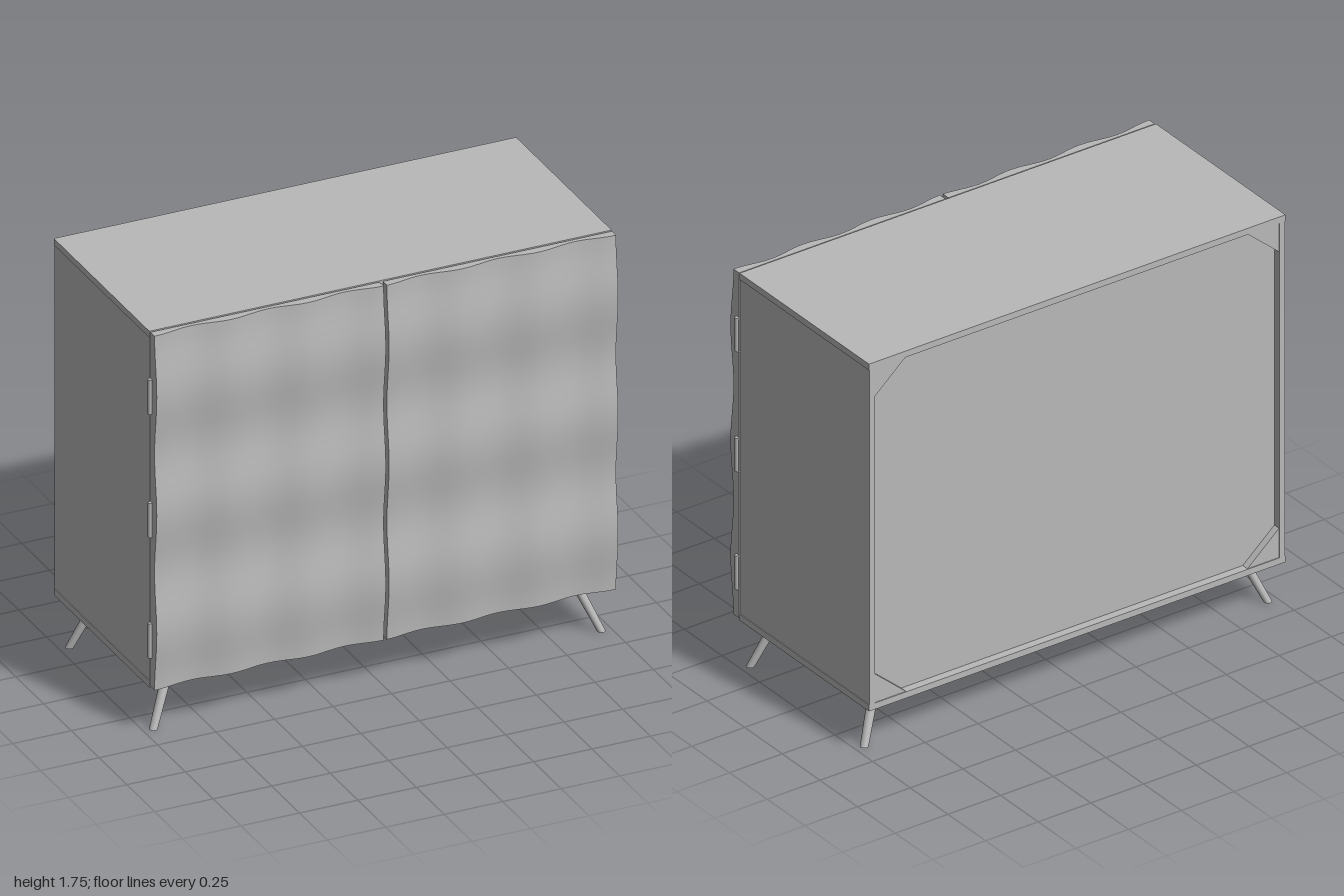
import * as THREE from 'three';

const grey = new THREE.MeshStandardMaterial({ color: 0xb8b8b8 });
grey.name = 'grey';

function add(parent, name, geometry, x = 0, y = 0, z = 0) {
  const mesh = new THREE.Mesh(geometry, grey);
  mesh.name = name;
  mesh.position.set(x, y, z);
  parent.add(mesh);
  return mesh;
}

// Box given by its minimum and maximum corners
function addBox(parent, name, [x0, y0, z0], [x1, y1, z1]) {
  return add(parent, name, new THREE.BoxGeometry(x1 - x0, y1 - y0, z1 - z0),
    (x0 + x1) / 2, (y0 + y1) / 2, (z0 + z1) / 2);
}

// Rippled front: bumps every 0.33 across and every 0.515 up
function frontDepth(x, y) {
  const across = Math.cos((2 * Math.PI * x) / 0.328);
  const up = Math.cos((2 * Math.PI * (y - 0.975)) / 0.515);
  return 0.443 + 0.01 * (across + up);
}

function doorGeometry(x0, x1, y0, y1, back) {
  const geo = new THREE.BoxGeometry(x1 - x0, y1 - y0, 0.03, 30, 36, 1);
  geo.translate((x0 + x1) / 2, (y0 + y1) / 2, 0);
  const p = geo.attributes.position;
  for (let i = 0; i < p.count; i++) {
    p.setZ(i, p.getZ(i) > 0 ? frontDepth(p.getX(i), p.getY(i)) : back);
  }
  geo.computeVertexNormals();
  return geo;
}

// Splayed tapered leg with level ends, sheared from a straight cylinder
function legGeometry(dx, dz) {
  const h = 0.205;
  const geo = new THREE.CylinderGeometry(0.021, 0.017, h, 20);
  geo.translate(0, h / 2, 0);
  const shear = new THREE.Matrix4().set(
    1, -dx / h, 0, 0,
    0, 1, 0, 0,
    0, -dz / h, 1, 0,
    0, 0, 0, 1);
  return geo.applyMatrix4(shear);
}

export function createModel() {
  const model = new THREE.Group();
  model.name = 'cabinet';
  const W = 0.988, Y0 = 0.2, Y1 = 1.75, Z0 = -0.46, Z1 = 0.4, T = 0.028;

  // Carcass
  addBox(model, 'topPanel', [-W, Y1 - T, Z0], [W, Y1, Z1]);
  addBox(model, 'bottomPanel', [-W, Y0, Z0], [W, Y0 + T, Z1]);
  addBox(model, 'backPanel', [-W + T, Y0 + T, Z0 + 0.035], [W - T, Y1 - T, Z0 + 0.05]);
  addBox(model, 'centreDivider', [-0.015, Y0 + T, Z0 + 0.05], [0.015, Y1 - T, Z1]);

  for (const s of [1, -1]) {
    const side = s > 0 ? 'left' : 'right';
    const xs = [s * (W - T), s * (W - 0.003)].sort((a, b) => a - b);
    addBox(model, side + 'SidePanel', [xs[0], Y0 + T, Z0], [xs[1], Y1 - T, Z1]);

    // Rippled door
    const dx = [s * 0.007, s * 0.986].sort((a, b) => a - b);
    add(model, side + 'Door', doorGeometry(dx[0], dx[1], 0.207, 1.748, 0.406));

    // Hinges: knuckle barrel with two thin leaves
    for (const y of [0.412, 0.937, 1.473]) {
      const hinge = new THREE.Group();
      hinge.name = side + 'Hinge';
      hinge.position.set(s * 0.99, y, 0.413);
      model.add(hinge);
      add(hinge, 'hingeBarrel', new THREE.CylinderGeometry(0.01, 0.01, 0.15, 16));
      add(hinge, 'hingeLeaf', new THREE.BoxGeometry(0.03, 0.14, 0.004), -s * 0.015, 0, -0.01);
    }

    // Legs splayed outward
    for (const [name, zTop, dz] of [['Front', 0.315, 0.056], ['Back', -0.329, -0.056]]) {
      add(model, side + name + 'Leg', legGeometry(s * 0.087, dz), s * 0.957, 0, zTop + dz);
    }

    // Corner braces behind the back panel
    for (const v of [1, -1]) {
      const cx = s * (W - T), cy = v > 0 ? Y1 - T : Y0 + T;
      const shape = new THREE.Shape([
        new THREE.Vector2(cx, cy),
        new THREE.Vector2(cx - s * 0.15, cy),
        new THREE.Vector2(cx, cy - v * 0.13)]);
      add(model, 'cornerBrace',
        new THREE.ExtrudeGeometry(shape, { depth: 0.032, bevelEnabled: false }), 0, 0, Z0 + 0.004);
    }
  }
  return model;
}
